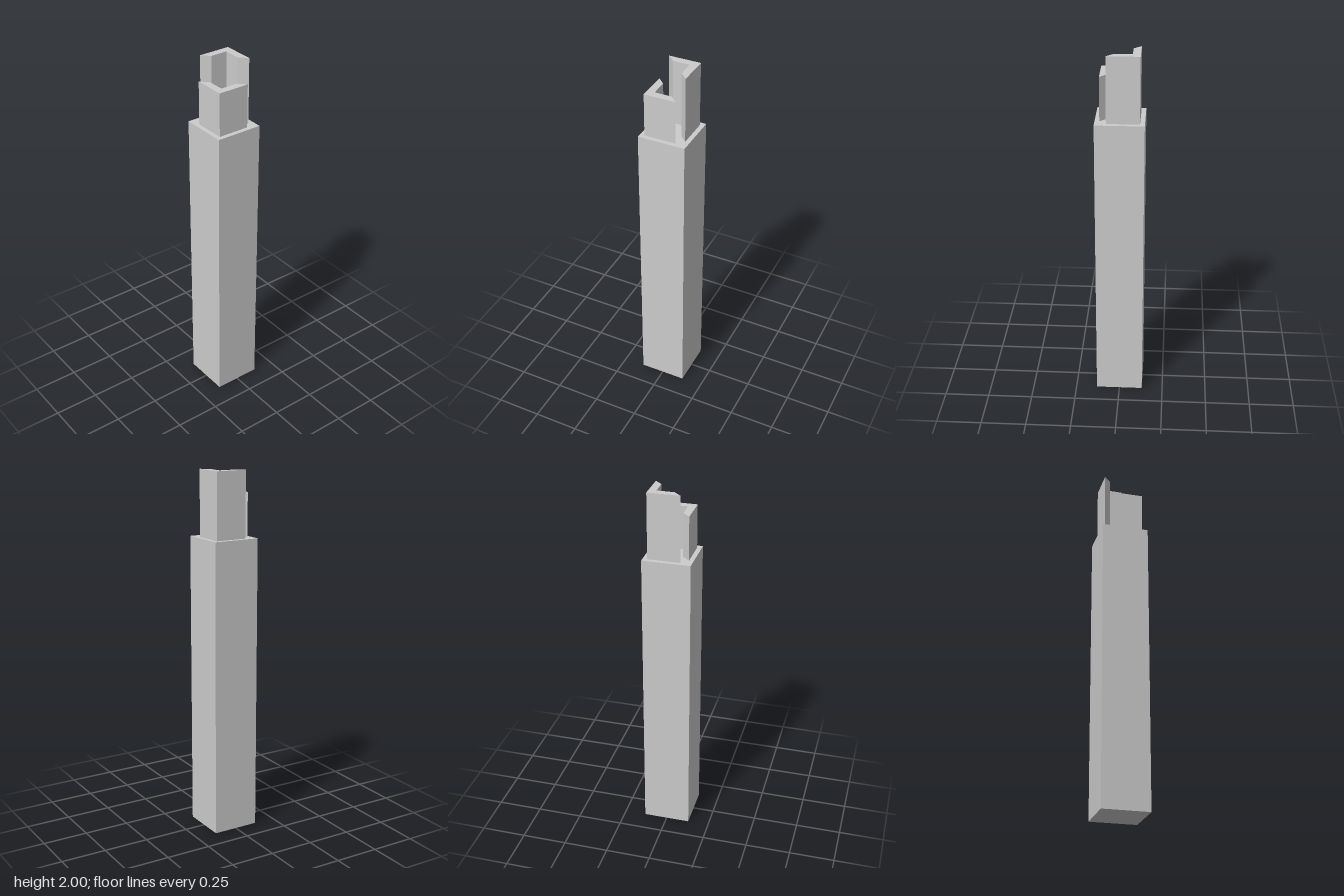
import * as THREE from 'three';

const BODY_WIDTH = 0.262, BODY_HEIGHT = 1.64;

export function createModel() {
  const model = new THREE.Group();
  model.name = 'post';
  const material = new THREE.MeshStandardMaterial({ color: 0xcccccc, flatShading: true });

  // Square post body
  const body = new THREE.Mesh(new THREE.BoxGeometry(BODY_WIDTH, BODY_HEIGHT, BODY_WIDTH), material);
  body.name = 'body';
  body.position.y = BODY_HEIGHT / 2;
  model.add(body);

  // L-shaped tenon with mitred ends, seen from above (shape y points to the back)
  const outer = 0.106, inner = 0.065, outerEnd = -0.07, innerEnd = -0.029;
  const outline = new THREE.Shape([
    [outerEnd, outer], [innerEnd, inner], [inner, inner],
    [inner, innerEnd], [outer, outerEnd], [outer, outer],
  ].map(([x, y]) => new THREE.Vector2(x, y)));

  function addTenon(name, height, turn) {
    const geometry = new THREE.ExtrudeGeometry(outline, { depth: height, bevelEnabled: false });
    geometry.rotateX(-Math.PI / 2);
    const tenon = new THREE.Mesh(geometry, material);
    tenon.name = name;
    tenon.position.y = BODY_HEIGHT;
    tenon.rotation.y = turn;
    model.add(tenon);
  }

  // Tall tenon on the back corner, short one turned to the opposite corner
  addTenon('tallTenon', 2 - BODY_HEIGHT, 0);
  addTenon('shortTenon', 0.24, Math.PI);

  return model;
}
